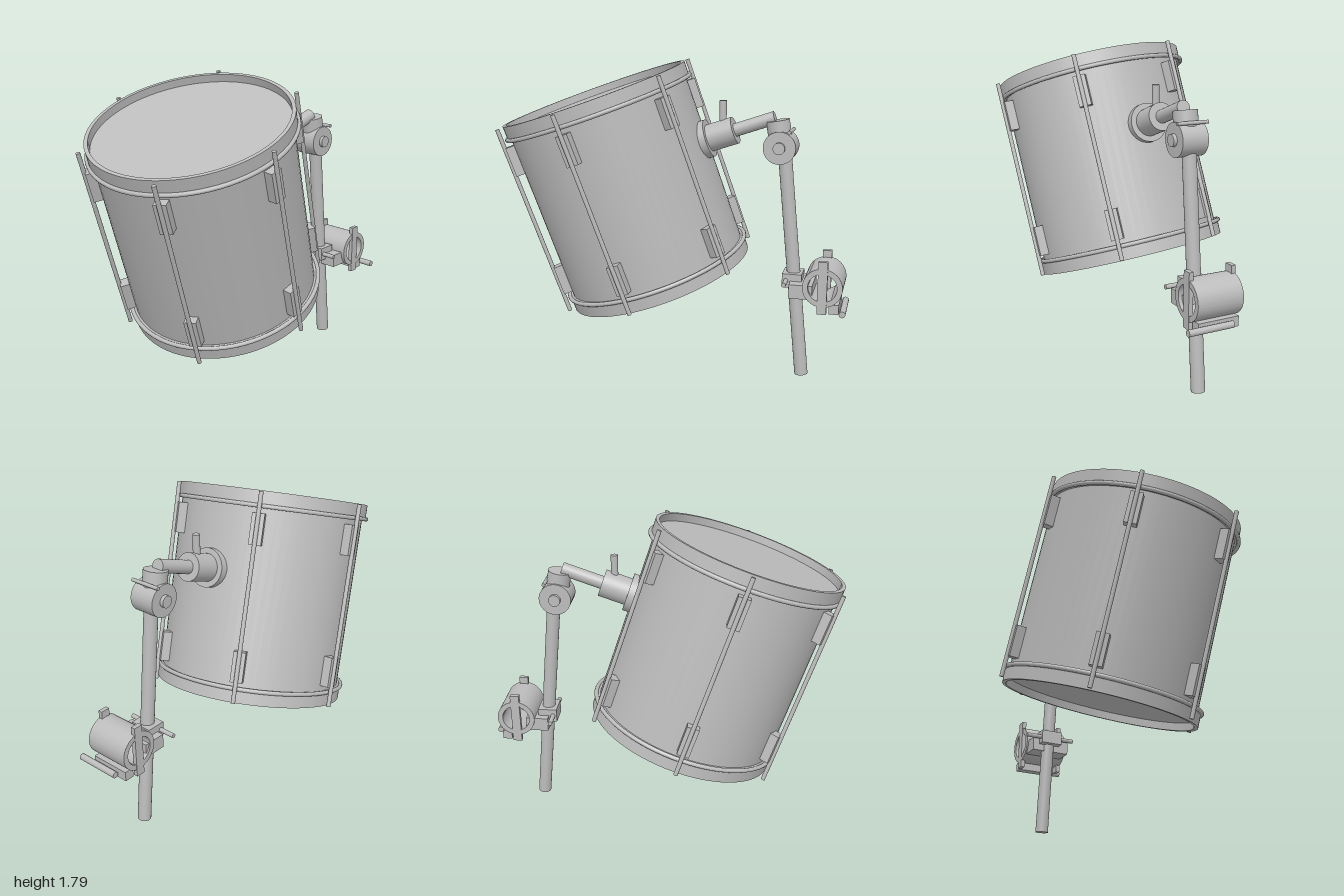
import * as THREE from 'three';
import { toCreasedNormals } from 'three/addons/utils/BufferGeometryUtils.js';

const V = (x, y, z) => new THREE.Vector3(x, y, z);
const UP = V(0, 1, 0);

export function createModel() {
  const model = new THREE.Group();
  model.name = 'mountedTomDrum';
  const grey = new THREE.MeshStandardMaterial({ color: 0xbcbcbc });
  grey.name = 'plain grey';

  function add(parent, name, geometry) {
    const mesh = new THREE.Mesh(geometry, grey);
    mesh.name = name;
    parent.add(mesh);
    return mesh;
  }

  // Round bar between two points
  function bar(parent, name, a, b, radius, sides = 24) {
    const dir = b.clone().sub(a);
    const mesh = add(parent, name, new THREE.CylinderGeometry(radius, radius, dir.length(), sides));
    mesh.position.copy(a).add(b).multiplyScalar(0.5);
    mesh.quaternion.setFromUnitVectors(UP, dir.normalize());
    return mesh;
  }

  function box(parent, name, size, pos) {
    const mesh = add(parent, name, new THREE.BoxGeometry(...size));
    mesh.position.set(...pos);
    return mesh;
  }

  // Hollow ring, centred on its own axis (z before rotation)
  function ringGeometry(outer, inner, length) {
    const shape = new THREE.Shape().absarc(0, 0, outer, 0, Math.PI * 2, false);
    shape.holes.push(new THREE.Path().absarc(0, 0, inner, 0, Math.PI * 2, true));
    const geo = new THREE.ExtrudeGeometry(shape, { depth: length, bevelEnabled: false, curveSegments: 64 });
    geo.translate(0, 0, -length / 2);
    return toCreasedNormals(geo, 0.6);
  }

  // Drum, tilted forwards and slightly sideways
  const drum = new THREE.Group();
  drum.name = 'drum';
  drum.position.set(0, 1.06, 0.3);
  drum.rotation.set(0.3225, 0, -0.101, 'ZYX');
  model.add(drum);
  add(drum, 'shellAndHeads', new THREE.CylinderGeometry(0.53, 0.53, 1.06, 72));

  for (const s of [1, -1]) {
    const hoop = add(drum, s > 0 ? 'topHoop' : 'bottomHoop', ringGeometry(0.549, 0.528, 0.085));
    hoop.rotation.x = Math.PI / 2;
    hoop.position.y = s * 0.5325;
    const flange = add(drum, 'hoopFlange', new THREE.TorusGeometry(0.553, 0.012, 10, 72));
    flange.rotation.x = Math.PI / 2;
    flange.position.y = s * 0.495;
  }

  // Six tension rods, each with two lugs
  for (let i = 0; i < 6; i++) {
    const station = new THREE.Group();
    station.name = 'tensionStation';
    station.rotation.y = (i * Math.PI) / 3;
    drum.add(station);
    bar(station, 'tensionRod', V(0.583, -0.57, 0), V(0.583, 0.57, 0), 0.012, 12);
    for (const s of [1, -1]) box(station, 'lug', [0.065, 0.17, 0.068], [0.547, s * 0.372, 0]);
  }

  // Socket and arm on the back of the shell
  const mount = new THREE.Group();
  mount.name = 'mount';
  model.add(mount);
  const base = V(0, 1.355, -0.17);
  const out = V(0, 0.325, -0.946);
  const along = (d) => base.clone().addScaledVector(out, d);
  bar(mount, 'socketFlange', along(-0.05), along(0.022), 0.108, 40);
  bar(mount, 'socket', along(0), along(0.175), 0.077, 40);
  bar(mount, 'socketScrew', V(0, 1.38, -0.265), V(0, 1.575, -0.265), 0.02);
  bar(mount, 'arm', along(0.15), along(0.41), 0.037);

  // Tilting joint
  bar(mount, 'jointCup', V(0, 1.34, -0.595), V(0, 1.475, -0.572), 0.065, 32);
  bar(mount, 'jointDisc', V(-0.075, 1.33, -0.595), V(0.075, 1.33, -0.595), 0.09, 40);
  bar(mount, 'jointBolt', V(-0.095, 1.33, -0.595), V(0.095, 1.33, -0.595), 0.033);
  bar(mount, 'jointLever', V(-0.09, 1.42, -0.65), V(0.09, 1.42, -0.65), 0.01, 12);

  // Post
  bar(mount, 'post', V(0, 0.004, -0.75), V(0, 1.33, -0.613), 0.038, 32);

  // Clamp on the post
  const clamp = new THREE.Group();
  clamp.name = 'clamp';
  model.add(clamp);
  box(clamp, 'collar', [0.13, 0.08, 0.11], [0, 0.58, -0.685]);
  bar(clamp, 'collarBolt', V(-0.16, 0.58, -0.652), V(0.15, 0.58, -0.652), 0.013, 12);
  box(clamp, 'bracket', [0.235, 0.08, 0.13], [0.012, 0.54, -0.742]);
  const sleeve = add(clamp, 'sleeve', ringGeometry(0.11, 0.08, 0.265));
  sleeve.rotation.y = Math.PI / 2;
  sleeve.position.set(0.0175, 0.58, -0.865);
  for (const x of [-0.105, 0.14]) box(clamp, 'sleeveBar', [0.025, 0.3, 0.052], [x, 0.58, -0.865]);
  box(clamp, 'lowerBlock', [0.235, 0.055, 0.055], [0.0175, 0.458, -0.93]);
  bar(clamp, 'clampLever', V(-0.05, 0.46, -0.982), V(0.21, 0.46, -0.982), 0.018, 16);

  return model;
}
